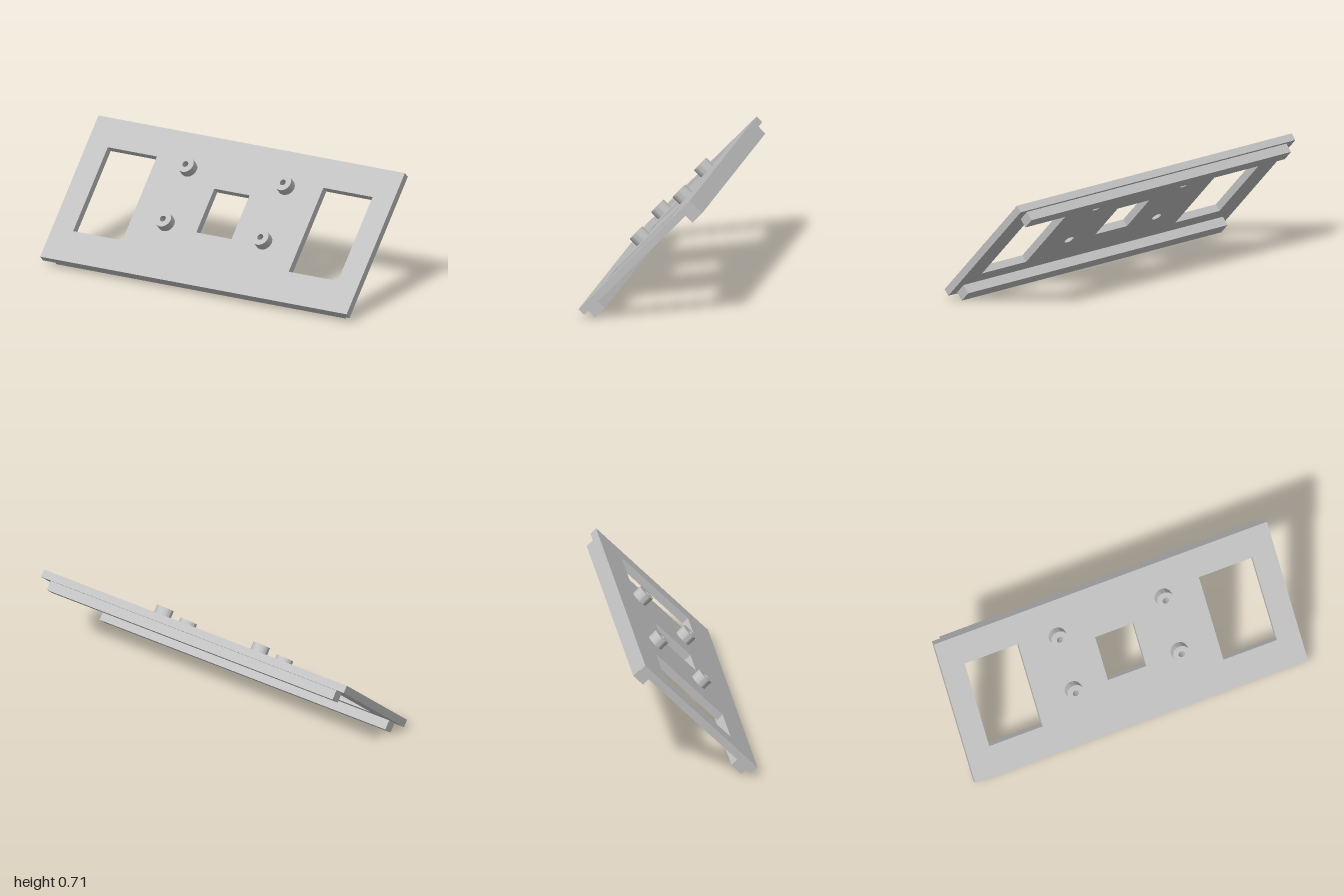
import * as THREE from 'three';
import { toCreasedNormals } from 'three/addons/utils/BufferGeometryUtils.js';

const LENGTH = 2, HEIGHT = 0.909, THICK = 0.0445;
const BOSS_X = 0.318, BOSS_Y = [-0.113, 0.238];
const BORE = 0.018, COUNTERBORE = 0.03;

function rectPoints(x0, y0, x1, y1) {
  return [[x0, y0], [x1, y0], [x1, y1], [x0, y1]].map(([x, y]) => new THREE.Vector2(x, y));
}

export function createModel() {
  const grey = new THREE.MeshStandardMaterial({ color: 0xc0c0c0 });
  grey.name = 'grey';

  const model = new THREE.Group();
  model.name = 'tiltedPanel';

  // Everything is built on an upright plate whose front face is z = 0, then leaned back
  const add = (name, geometry, x = 0, y = 0, z = 0) => {
    const mesh = new THREE.Mesh(geometry, grey);
    mesh.name = name;
    mesh.position.set(x, y, z);
    model.add(mesh);
  };

  // Plate with two large windows, a centre window and four counterbored holes
  const outline = new THREE.Shape(rectPoints(-LENGTH / 2, -HEIGHT / 2, LENGTH / 2, HEIGHT / 2));
  outline.holes.push(
    new THREE.Path(rectPoints(-0.864, -0.265, -0.543, 0.275)),
    new THREE.Path(rectPoints(0.543, -0.265, 0.864, 0.275)),
    new THREE.Path(rectPoints(-0.115, -0.134, 0.115, 0.147)),
  );
  for (const x of [-BOSS_X, BOSS_X]) {
    for (const y of BOSS_Y) {
      outline.holes.push(new THREE.Path().absarc(x, y, COUNTERBORE, 0, Math.PI * 2));
    }
  }
  const plate = new THREE.ExtrudeGeometry(outline, { depth: THICK, bevelEnabled: false, curveSegments: 20 });
  plate.translate(0, 0, -THICK);
  add('plate', toCreasedNormals(plate, 0.6));

  // Hollow bosses on the front, each with the shoulder of its counterbore
  const profile = [
    [0.05, 0], [0.05, 0.056], [BORE, 0.056], [BORE, -0.0225], [COUNTERBORE, -0.0225],
  ].map(([r, h]) => new THREE.Vector2(r, h));
  const boss = toCreasedNormals(new THREE.LatheGeometry(profile, 40).rotateX(Math.PI / 2), 0.6);
  for (const x of [-BOSS_X, BOSS_X]) {
    for (const y of BOSS_Y) add('boss', boss, x, y);
  }

  // Rails along the back, near the top and bottom edges
  const rail = new THREE.BoxGeometry(1.888, 0.079, 0.056);
  add('topRail', rail, 0, 0.3985, -THICK - 0.028);
  add('bottomRail', rail, 0, -0.3985, -THICK - 0.028);

  model.rotation.x = -0.769;
  model.position.set(0, 0.3865, 0.031);

  const root = new THREE.Group();
  root.name = 'mountingPanel';
  root.add(model);
  return root;
}
